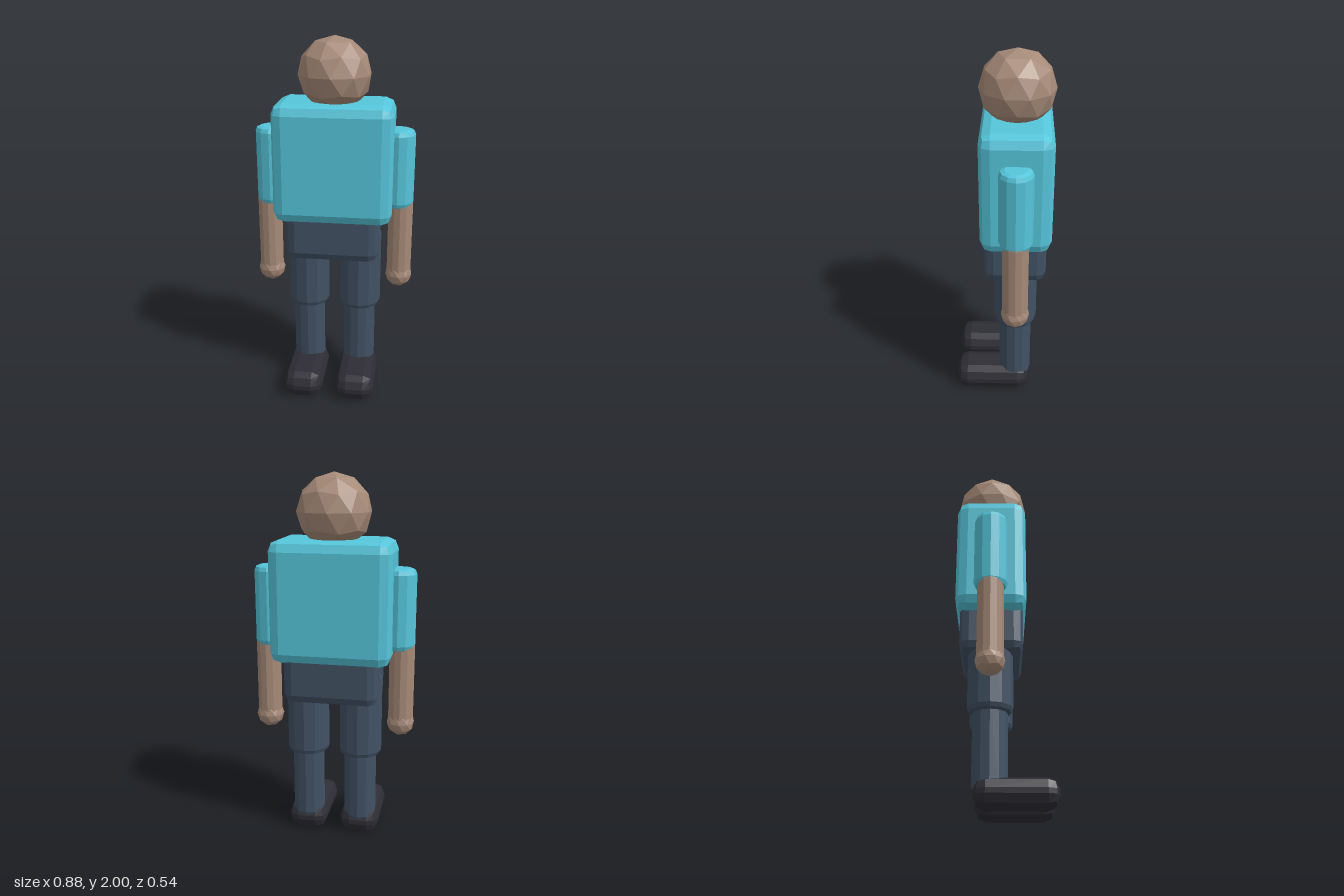
import * as THREE from 'three';
import { RoundedBoxGeometry } from 'three/addons/geometries/RoundedBoxGeometry.js';

const CENTER_Z = -0.07;

function paint(name, color) {
  const m = new THREE.MeshStandardMaterial({ color, flatShading: true });
  m.name = name;
  return m;
}

// Give every face its own normal
function faceted(geometry) {
  const g = geometry.index ? geometry.toNonIndexed() : geometry;
  g.computeVertexNormals();
  return g;
}

// Box with two-step bevels, given by its minimum and maximum corners
function bevelBox(min, max, bevel) {
  const [w, h, d] = max.map((v, i) => v - min[i]);
  const g = new RoundedBoxGeometry(w, h, d, 1, bevel);
  g.translate(...max.map((v, i) => (v + min[i]) / 2));
  g.clearGroups();
  return faceted(g);
}

// Upright twelve-sided limb with two-step bevelled ends
function limb(radius, y0, y1, bevel) {
  const s = bevel * 0.29;
  const profile = [
    [0, y0], [radius - bevel, y0], [radius - s, y0 + s], [radius, y0 + bevel],
    [radius, y1 - bevel], [radius - s, y1 - s], [radius - bevel, y1], [0, y1],
  ].map(([x, y]) => new THREE.Vector2(x, y));
  return faceted(new THREE.LatheGeometry(profile, 12));
}

// Faceted ball standing on one of its corners
function ball(radius) {
  const g = new THREE.IcosahedronGeometry(radius, 1);
  g.rotateZ(Math.atan(2 / (1 + Math.sqrt(5))));
  return faceted(g);
}

export function createModel() {
  const model = new THREE.Group();
  model.name = 'figure';
  const skin = paint('skin', 0xa68a78);
  const shirt = paint('shirt', 0x55c5da);
  const trousers = paint('trousers', 0x415163);
  const leather = paint('shoe leather', 0x2e2d35);

  function add(name, geometry, material, x = 0, y = 0, z = 0) {
    const mesh = new THREE.Mesh(geometry, material);
    mesh.name = name;
    mesh.position.set(x, y, z);
    model.add(mesh);
  }

  // Head and trunk
  add('head', ball(0.198), skin, 0, 1.802, CENTER_Z);
  add('torso', bevelBox([-0.324, 1.01, -0.257], [0.324, 1.666, 0.118], 0.06), shirt);
  add('pelvis', bevelBox([-0.255, 0.79, -0.233], [0.255, 1.08, 0.1], 0.05), trousers);

  // Arms and legs, one set per side
  for (const [side, s] of [['left', 1], ['right', -1]]) {
    add(side + 'UpperArm', limb(0.088, 1.085, 1.52, 0.03), shirt, s * 0.349, 0, CENTER_Z);
    add(side + 'Forearm', limb(0.068, 0.68, 1.13, 0.022), skin, s * 0.369, 0, CENTER_Z);
    add(side + 'Hand', ball(0.076), skin, s * 0.369, 0.676, CENTER_Z);
    add(side + 'Thigh', limb(0.118, 0.475, 0.95, 0.03), trousers, s * 0.148, 0, CENTER_Z);
    add(side + 'Calf', limb(0.09, 0.09, 0.55, 0.022), trousers, s * 0.148, 0, CENTER_Z);
    add(side + 'Shoe', bevelBox([-0.109, 0, -0.15], [0.109, 0.146, 0.268], 0.06), leather, s * 0.148);
  }
  return model;
}
